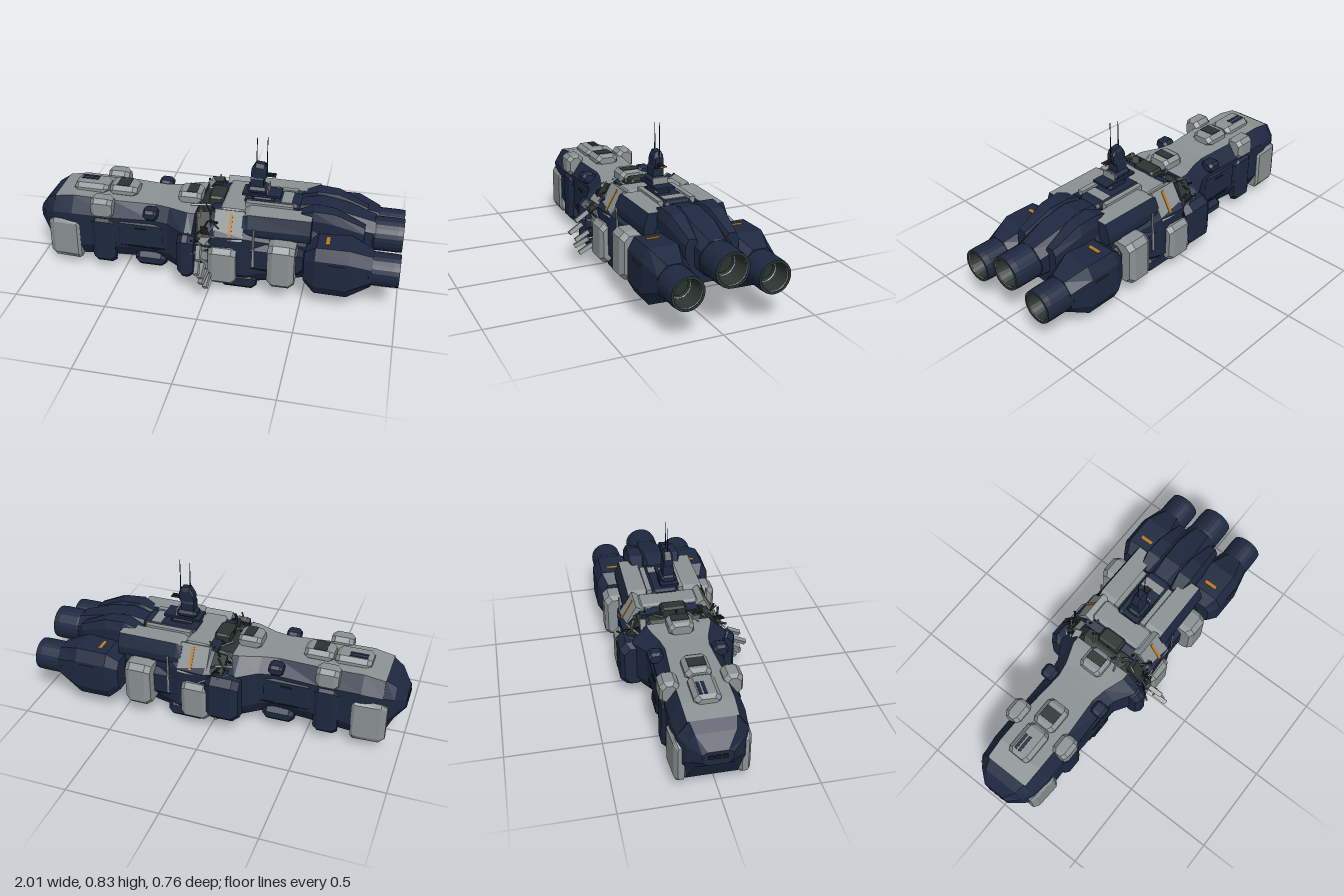
import * as THREE from 'three';

const mat = (name, color) => {
  const m = new THREE.MeshStandardMaterial({ color, flatShading: true });
  m.name = name;
  return m;
};

export function createModel() {
  const ship = new THREE.Group();
  ship.name = 'damagedSpaceship';
  const blue = mat('navyHull', 0x1e2840), grey = mat('paleArmour', 0x8b9293), dark = mat('darkMetal', 0x2b3432),
    black = mat('blackTrim', 0x171a1e), orange = mat('orangeMark', 0xb87a22);
  const FZ = -0.02, RZ = -0.04; // centre lines of the two broken halves

  const add = (name, geo, m, x = 0, y = 0, z = 0, rx = 0, ry = 0, rz = 0) => {
    const mesh = new THREE.Mesh(geo, m);
    mesh.name = name;
    mesh.position.set(x, y, z);
    mesh.rotation.set(rx, ry, rz);
    ship.add(mesh);
    return mesh;
  };
  const box = (name, m, x0, x1, y0, y1, z0, z1) =>
    add(name, new THREE.BoxGeometry(x1 - x0, y1 - y0, z1 - z0), m, (x0 + x1) / 2, (y0 + y1) / 2, (z0 + z1) / 2);

  // Octagonal loft along x; section = [x, halfWidth, bottom, top, topHalf, shoulderY, bottomHalf, lowerY]
  const loft = (name, secs, zc, m, topMat = m) => {
    const rings = secs.map(([x, w, b, t, tw, sy, bw, ly]) =>
      [[tw, t], [w, sy], [w, ly], [bw, b], [-bw, b], [-w, ly], [-w, sy], [-tw, t]].map(([z, y]) => [x, y, z + zc]));
    const side = [], top = [];
    for (let s = 0; s + 1 < rings.length; s++) {
      const a = rings[s], b = rings[s + 1];
      for (let i = 0; i < 8; i++) {
        const j = (i + 1) % 8;
        (i === 7 ? top : side).push(...a[i], ...a[j], ...b[j], ...a[i], ...b[j], ...b[i]);
      }
    }
    const first = rings[0], last = rings[rings.length - 1];
    for (let i = 1; i < 7; i++) {
      side.push(...last[0], ...last[i], ...last[i + 1], ...first[0], ...first[i + 1], ...first[i]);
    }
    const geo = new THREE.BufferGeometry();
    geo.setAttribute('position', new THREE.Float32BufferAttribute([...side, ...top], 3));
    geo.addGroup(0, side.length / 3, 0);
    geo.addGroup(side.length / 3, top.length / 3, 1);
    geo.computeVertexNormals();
    return add(name, geo, [m, topMat]);
  };

  // Box with bevelled edges on every side
  const block = (name, m, x0, x1, y0, y1, z0, z1, c = 0.02) => {
    const w = (z1 - z0) / 2, k = c * 0.6;
    const sec = (x, k) => [x, w - k, y0 + k, y1 - k, w - c - k, y1 - c - k, w - c - k, y0 + c + k];
    return loft(name, [sec(x0, k), sec(x0 + c, 0), sec(x1 - c, 0), sec(x1, k)], (z0 + z1) / 2, m);
  };
  // Same block on both flanks; zi and zo are distances from the centre line
  const pair = (name, m, x0, x1, y0, y1, zi, zo, zc, c) => {
    block(name + 'Left', m, x0, x1, y0, y1, zc + zi, zc + zo, c);
    block(name + 'Right', m, x0, x1, y0, y1, zc - zo, zc - zi, c);
  };

  // Forward hull with its pale deck
  loft('nose', [
    [-1.0, 0.075, 0.22, 0.30, 0.05, 0.285, 0.05, 0.24],
    [-0.945, 0.138, 0.17, 0.37, 0.10, 0.31, 0.10, 0.21],
    [-0.89, 0.172, 0.06, 0.405, 0.115, 0.33, 0.13, 0.14],
  ], FZ, blue);
  loft('forwardHull', [
    [-0.89, 0.172, 0.06, 0.405, 0.125, 0.33, 0.13, 0.14],
    [-0.78, 0.185, 0.06, 0.425, 0.13, 0.34, 0.14, 0.14],
    [-0.56, 0.185, 0.08, 0.42, 0.13, 0.34, 0.14, 0.16],
    [-0.32, 0.18, 0.09, 0.415, 0.115, 0.35, 0.13, 0.17],
    [-0.24, 0.195, 0.08, 0.415, 0.13, 0.35, 0.15, 0.16],
    [-0.13, 0.26, 0.06, 0.42, 0.17, 0.34, 0.20, 0.14],
    [-0.09, 0.25, 0.07, 0.42, 0.17, 0.34, 0.19, 0.15],
  ], FZ, blue, grey);
  for (let i = 0; i < 7; i++) { // bridge windows wrapped round the nose
    const z = (i - 3) * 0.034;
    add('bridgeWindow', new THREE.BoxGeometry(0.008, 0.02, 0.026), black, -1.001 + Math.max(0, Math.abs(z) - 0.05) * 0.8, 0.27, FZ + z);
  }
  for (const s of [-1, 1]) {
    loft('cheekArmour', [
      [-0.92, 0.015, 0.08, 0.27, 0.01, 0.26, 0.01, 0.09],
      [-0.89, 0.032, 0.055, 0.295, 0.02, 0.275, 0.02, 0.08],
      [-0.755, 0.04, 0.05, 0.295, 0.02, 0.275, 0.02, 0.08],
      [-0.74, 0.03, 0.06, 0.285, 0.015, 0.265, 0.015, 0.09],
    ], FZ + s * 0.157, grey);
    for (const [x, y, l] of [[-0.46, 0.178, 0.1], [-0.33, 0.178, 0.1], [-0.42, 0.29, 0.06]]) {
      box('sideGroove', black, x, x + l, y, y + 0.008, FZ + s * 0.191 - 0.003, FZ + s * 0.191 + 0.003);
    }
  }
  pair('hullFrame', blue, -0.67, -0.54, 0.05, 0.34, 0.13, 0.2, FZ, 0.025);
  pair('shoulderArmour', grey, -0.665, -0.545, 0.335, 0.455, 0.11, 0.208, FZ, 0.022);
  pair('sidePanel', blue, -0.52, -0.26, 0.17, 0.33, 0.15, 0.19, FZ, 0.012);
  pair('sideSensor', blue, -0.37, -0.295, 0.36, 0.42, 0.13, 0.21, FZ, 0.015);
  pair('lowerSponson', blue, -0.43, -0.26, 0.05, 0.135, 0.08, 0.185, FZ, 0.025);
  block('breakPodLeft', blue, -0.165, -0.075, 0.08, 0.345, 0.17, 0.28, 0.03);
  block('breakPodRight', blue, -0.165, 0.02, 0.08, 0.345, -0.345, -0.2, 0.035);
  block('keelPlate', blue, -0.86, -0.2, 0.06, 0.12, FZ - 0.08, FZ + 0.08, 0.02);

  // Deck hatches
  block('forwardHatch', grey, -0.8, -0.61, 0.4, 0.462, -0.088, 0.046, 0.022);
  block('aftHatch', grey, -0.6, -0.445, 0.4, 0.466, -0.088, 0.046, 0.022);
  box('aftHatchGrille', dark, -0.56, -0.49, 0.464, 0.469, -0.066, 0.024);
  for (const z of [-0.06, -0.035]) box('hatchSlot', blue, -0.775, -0.68, 0.46, 0.465, z, z + 0.016);
  block('brokenDeckHouse', grey, -0.21, -0.085, 0.4, 0.475, -0.09, 0.045, 0.02);
  box('deckHouseGrille', dark, -0.165, -0.11, 0.473, 0.478, -0.07, 0.025);

  // Exposed core in the break
  block('exposedCore', dark, -0.11, 0.04, 0.08, 0.42, -0.22, 0.16, 0.05);
  block('coreTopGrille', dark, -0.04, 0.042, 0.38, 0.47, -0.1, 0.04, 0.012);

  // Aft hull
  loft('aftHull', [
    [-0.01, 0.25, 0.05, 0.43, 0.17, 0.34, 0.18, 0.13],
    [0.03, 0.27, 0.02, 0.44, 0.17, 0.34, 0.19, 0.11],
    [0.18, 0.26, 0.015, 0.44, 0.16, 0.34, 0.17, 0.11],
    [0.33, 0.21, 0.035, 0.44, 0.15, 0.3, 0.16, 0.12],
    [0.54, 0.19, 0.08, 0.43, 0.14, 0.3, 0.14, 0.15],
    [0.8, 0.13, 0.18, 0.36, 0.09, 0.3, 0.08, 0.22],
  ], RZ, blue);
  block('aftDeckArmour', grey, 0.04, 0.17, 0.4, 0.455, RZ - 0.165, RZ + 0.165, 0.015);
  for (const s of [-1, 1]) { // sloped flank armour with a painted mark
    const plate = add('flankArmour', new THREE.BoxGeometry(0.16, 0.16, 0.05), grey, 0.1, 0.383, RZ + s * 0.205, -s * 0.52);
    const mark = new THREE.Mesh(new THREE.BoxGeometry(0.016, 0.13, 0.006), orange);
    mark.name = 'armourMark';
    mark.position.set(0.01, 0, s * 0.025);
    plate.add(mark);
    // dark panel bared beside the armour
    add('baredPanel', new THREE.BoxGeometry(0.07, 0.14, 0.03), dark, -0.035, 0.375, RZ + s * 0.215, -s * 0.52, 0, 0.12);
    box('hullSeam', grey, 0.232, 0.241, 0.17, 0.4, RZ + s * 0.249 - 0.004, RZ + s * 0.249 + 0.004);
  }
  pair('lowerFlankArmour', grey, 0.0, 0.15, 0.06, 0.28, 0.22, 0.302, RZ, 0.025);
  pair('sidePod', grey, 0.32, 0.463, 0.09, 0.345, 0.13, 0.32, RZ, 0.028);
  pair('podMount', blue, 0.17, 0.5, 0.13, 0.3, 0.15, 0.25, RZ, 0.03);
  pair('keelPod', blue, 0.05, 0.25, 0.0, 0.1, 0.135, 0.235, RZ, 0.025);
  for (const x of [0.05, 0.12, 0.19, 0.25]) box('bellySeam', black, x, x + 0.008, 0.013, 0.03, RZ - 0.15, RZ + 0.15);

  // Dorsal strakes, spine and nozzle fairings
  for (const s of [-1, 1]) {
    loft('dorsalStrake', [
      [0.17, 0.075, 0.34, 0.445, 0.05, 0.39, 0.07, 0.36],
      [0.2, 0.08, 0.34, 0.46, 0.053, 0.39, 0.07, 0.36],
      [0.53, 0.075, 0.34, 0.46, 0.05, 0.39, 0.07, 0.36],
    ], RZ + s * 0.155, blue, grey);
    const z = RZ + s * 0.088;
    box('wellRim', grey, 0.165, 0.42, 0.43, 0.472, z - 0.014, z + 0.014);
    loft('shoulderFairing', [
      [0.44, 0.04, 0.36, 0.45, 0.025, 0.42, 0.04, 0.38],
      [0.53, 0.055, 0.35, 0.487, 0.04, 0.44, 0.05, 0.37],
      [0.64, 0.055, 0.34, 0.48, 0.035, 0.43, 0.05, 0.36],
      [0.8, 0.035, 0.3, 0.41, 0.02, 0.38, 0.03, 0.32],
    ], RZ + s * 0.105, blue);
  }
  block('dorsalWell', blue, 0.15, 0.45, 0.4, 0.47, RZ - 0.075, RZ + 0.075, 0.015);
  box('wellPlate', grey, 0.35, 0.405, 0.468, 0.473, RZ - 0.06, RZ + 0.06);
  loft('spine', [
    [0.4, 0.06, 0.36, 0.45, 0.04, 0.43, 0.05, 0.38],
    [0.56, 0.09, 0.3, 0.48, 0.05, 0.43, 0.08, 0.34],
    [0.7, 0.105, 0.22, 0.45, 0.06, 0.39, 0.06, 0.27],
    [0.85, 0.088, 0.225, 0.405, 0.04, 0.36, 0.04, 0.27],
  ], RZ, blue);

  // Side nacelles
  for (const s of [-1, 1]) {
    const zc = RZ + s * 0.225;
    loft('nacelle', [
      [0.51, 0.075, 0.14, 0.32, 0.05, 0.28, 0.05, 0.18],
      [0.57, 0.108, 0.09, 0.37, 0.075, 0.31, 0.075, 0.15],
      [0.74, 0.11, 0.088, 0.373, 0.075, 0.31, 0.075, 0.15],
      [0.86, 0.086, 0.15, 0.33, 0.04, 0.28, 0.04, 0.2],
    ], zc, blue);
    box('nacelleMark', orange, 0.614, 0.633, 0.366, 0.3735, zc - 0.035, zc + 0.035);
    box('nacelleSlit', dark, 0.64, 0.72, 0.285, 0.293, zc + s * 0.111 - 0.003, zc + s * 0.111 + 0.003);
  }

  // Engine nozzles: shell, hollow dark throat and two bright rings
  const turned = pts => new THREE.LatheGeometry(pts.map(p => new THREE.Vector2(...p)), 24);
  for (const [y, z] of [[0.315, RZ], [0.24, RZ + 0.225], [0.24, RZ - 0.225]]) {
    const r = z === RZ ? 0.092 : 0.088;
    const ring = (name, m, x, k, t) => add(name, new THREE.TorusGeometry(r * k, t, 4, 24), m, x, y, z, 0, Math.PI / 2);
    add('nozzleShell', turned([[r * 0.96, 0], [r, 0.03], [r, 0.14], [r * 0.97, 0.17]]), blue, 0.83, y, z, 0, 0, -Math.PI / 2);
    add('nozzleThroat', turned([[r * 0.97, 0.17], [r * 0.82, 0.17], [r * 0.6, 0.06], [0, 0.06]]), dark, 0.83, y, z, 0, 0, -Math.PI / 2);
    ring('nozzleBand', dark, 0.845, 0.975, 0.005);
    ring('nozzleInnerRing', grey, 0.91, 0.64, 0.004);
    ring('nozzleLipRing', grey, 0.995, 0.82, 0.0022);
  }

  // Command tower with masts
  const TZ = -0.017;
  block('towerBase', blue, 0.19, 0.31, 0.44, 0.497, TZ - 0.045, TZ + 0.045, 0.015);
  box('towerPlatform', blue, 0.14, 0.345, 0.497, 0.51, TZ - 0.05, TZ + 0.05);
  block('towerFoot', blue, 0.165, 0.275, 0.505, 0.545, TZ - 0.045, TZ + 0.045, 0.014);
  box('towerFootPlate', grey, 0.272, 0.279, 0.505, 0.545, TZ - 0.042, TZ + 0.042);
  loft('towerNeck', [
    [0.18, 0.03, 0.53, 0.6, 0.024, 0.59, 0.03, 0.54],
    [0.25, 0.03, 0.53, 0.6, 0.024, 0.59, 0.03, 0.54],
  ], TZ, blue);
  loft('towerHead', [
    [0.182, 0.024, 0.59, 0.64, 0.018, 0.625, 0.02, 0.6],
    [0.205, 0.027, 0.585, 0.68, 0.016, 0.66, 0.02, 0.595],
    [0.25, 0.027, 0.585, 0.675, 0.016, 0.655, 0.02, 0.595],
    [0.264, 0.022, 0.6, 0.65, 0.014, 0.64, 0.018, 0.605],
  ], TZ, blue);
  box('towerArm', black, 0.25, 0.308, 0.603, 0.616, TZ - 0.012, TZ + 0.012);
  box('towerMark', orange, 0.307, 0.312, 0.605, 0.612, TZ - 0.019, TZ + 0.019);
  for (const [x, y0, y1] of [[0.207, 0.64, 0.82], [0.262, 0.6, 0.83]]) {
    add('mast', new THREE.CylinderGeometry(0.0015, 0.004, y1 - y0, 6), black, x, (y0 + y1) / 2, TZ);
  }

  // Torn plating and bent girders round the break
  let seed = 11;
  const rnd = () => (seed = (seed * 16807) % 2147483647) / 2147483647;
  for (let i = 0; i < 72; i++) {
    const a = (i / 72) * Math.PI * 2, c = Math.cos(a), s = Math.sin(a);
    const z = -0.03 + Math.sign(c) * Math.pow(Math.abs(c), 0.6) * 0.27;
    const y = 0.24 + Math.sign(s) * Math.pow(Math.abs(s), 0.6) * 0.19;
    const geo = i % 3 ? new THREE.BoxGeometry(0.05 + rnd() * 0.07, 0.007, 0.01) : new THREE.BoxGeometry(0.06, 0.04, 0.007);
    add(i % 3 ? 'bentGirder' : 'tornPlate', geo, [grey, dark, black, dark][i % 4], -0.03 + (rnd() - 0.5) * 0.12, y, z,
      rnd() * 3, (rnd() - 0.5) * 2, (rnd() - 0.5) * 2.5);
  }
  for (const [y, z] of [[0.275, 0.3], [0.21, 0.335], [0.17, 0.305], [0.14, 0.315], [0.105, 0.295]]) { // splayed plates, left flank
    add('splayedPlate', new THREE.BoxGeometry(0.025, 0.022, 0.085), grey, -0.04 + rnd() * 0.05, y, z, 0.5, (rnd() - 0.5) * 0.4, 0.3);
  }
  for (let i = 0; i < 8; i++) { // peeled flank skin
    const s = i % 2 ? 1 : -1;
    add('peeledSkin', new THREE.BoxGeometry(0.07, 0.055, 0.008), grey, -0.035 + (rnd() - 0.5) * 0.03, 0.1 + (i >> 1) * 0.06, -0.035 + s * 0.265,
      (rnd() - 0.5) * 0.4, (rnd() - 0.5) * 0.5, (rnd() - 0.5) * 1.2);
  }
  return ship;
}
